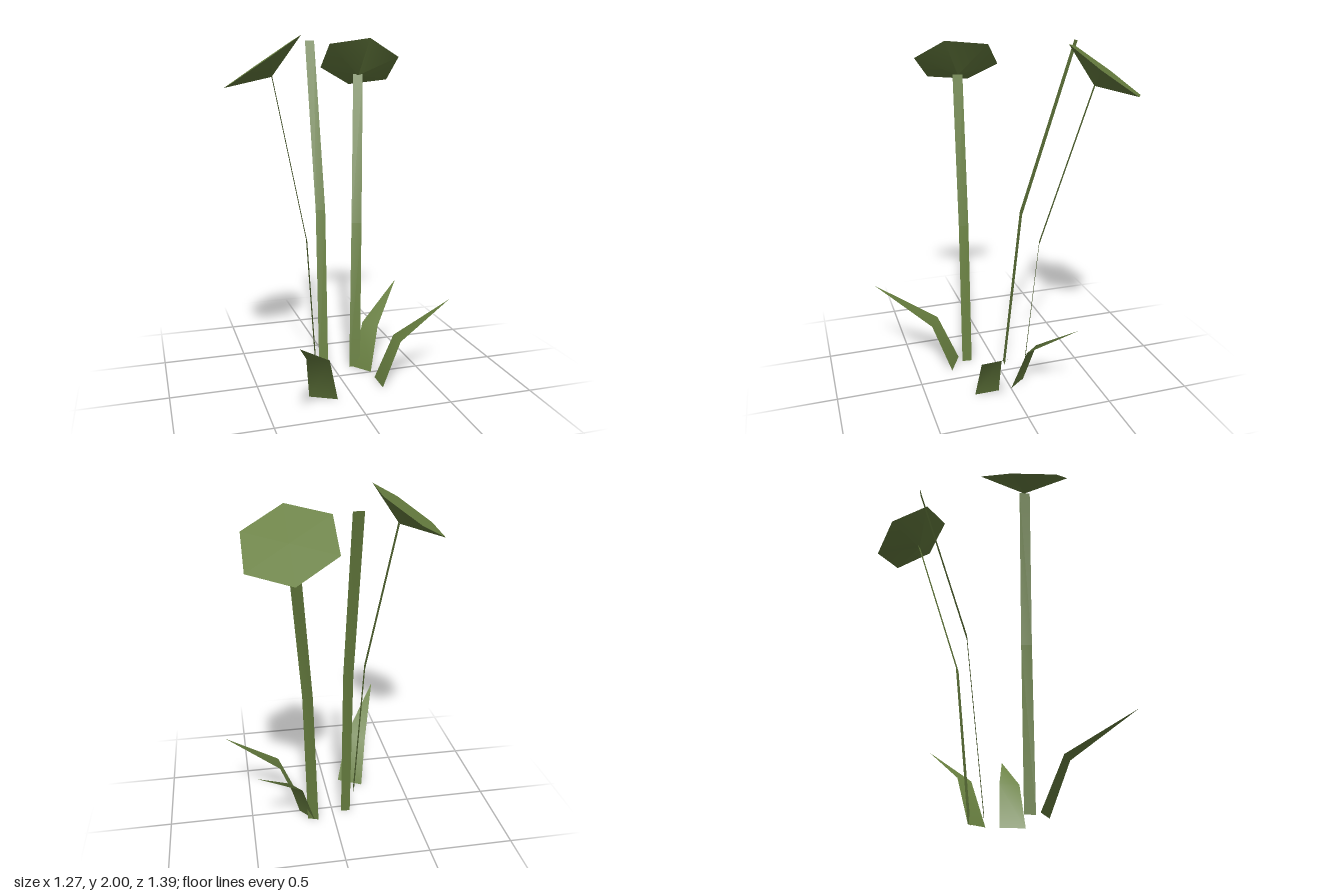
import * as THREE from 'three';

const green = new THREE.MeshStandardMaterial({ color: 0x687f40, side: THREE.DoubleSide });
green.name = 'leaf green';

// Thin ribbon from rows of [left, right] edge points, smooth across its bend
function ribbon(name, rows) {
  const index = [];
  for (let i = 0; i < rows.length - 1; i++) {
    const a = i * 2;
    index.push(a, a + 1, a + 3, a, a + 3, a + 2);
  }
  const geo = new THREE.BufferGeometry();
  geo.setAttribute('position', new THREE.Float32BufferAttribute(rows.flat(2), 3));
  geo.setIndex(index);
  geo.computeVertexNormals();
  const mesh = new THREE.Mesh(geo, green);
  mesh.name = name;
  return mesh;
}

// Shallow six-sided cone, point down, tilted; rim is the position of one rim corner
function cap(name, center, apex, rim) {
  const c = new THREE.Vector3(...center);
  const down = new THREE.Vector3(...apex).sub(c);
  const height = down.length();
  const y = down.clone().normalize();
  const z = new THREE.Vector3(...rim).sub(c);
  const radius = z.length();
  z.addScaledVector(y, -z.dot(y)).normalize();
  const x = new THREE.Vector3().crossVectors(y, z);
  const geo = new THREE.ConeGeometry(radius, height, 6);
  geo.translate(0, height / 2, 0);
  geo.applyMatrix4(new THREE.Matrix4().makeBasis(x, y, z).setPosition(c));
  const mesh = new THREE.Mesh(geo, green);
  mesh.name = name;
  return mesh;
}

export function createModel() {
  const model = new THREE.Group();
  model.name = 'plant';

  // Stems: base, bend, top
  model.add(
    ribbon('middleStem', [
      [[-0.11, 0, -0.05], [-0.055, 0, -0.045]],
      [[-0.10, 1.0, -0.15], [-0.043, 1.0, -0.145]],
      [[-0.08, 1.99, -0.455], [-0.024, 1.99, -0.45]],
    ]),
    ribbon('rightStem', [
      [[-0.182, 0, 0.199], [-0.175, 0, 0.14]],
      [[-0.238, 0.9, 0.19], [-0.231, 0.9, 0.132]],
      [[-0.409, 1.78, 0.165], [-0.402, 1.78, 0.107]],
    ]),
    ribbon('leftStem', [
      [[0.099, 0, -0.109], [0.162, 0, -0.086]],
      [[0.135, 0.9, -0.187], [0.192, 0.9, -0.165]],
      [[0.225, 1.79, -0.445], [0.281, 1.79, -0.424]],
    ]),
  );

  // Pads on top of the two outer stems
  model.add(
    cap('rightCap', [-0.456, 1.852, 0.127], [-0.406, 1.777, 0.134], [-0.456, 1.88, 0.379]),
    cap('leftCap', [0.275, 1.863, -0.483], [0.255, 1.783, -0.431], [0.275, 2.0, -0.27]),
  );

  // Leaves: base, bend, pointed tip
  model.add(
    ribbon('frontLeaf', [
      [[-0.24, 0, 0.21], [-0.094, 0, 0.288]],
      [[-0.285, 0.285, 0.33], [-0.17, 0.285, 0.39]],
      [[-0.405, 0.5, 0.693], [-0.403, 0.5, 0.694]],
    ]),
    ribbon('sideLeaf', [
      [[0.2, 0, 0.222], [0.2, 0, 0.077]],
      [[0.31, 0.265, 0.212], [0.31, 0.265, 0.095]],
      [[0.63, 0.475, 0.164], [0.63, 0.475, 0.162]],
    ]),
    ribbon('backLeaf', [
      [[0.203, 0, 0], [0.122, 0, -0.105]],
      [[0.271, 0.265, -0.072], [0.2, 0.265, -0.158]],
      [[0.468, 0.475, -0.297], [0.467, 0.475, -0.299]],
    ]),
  );
  return model;
}
